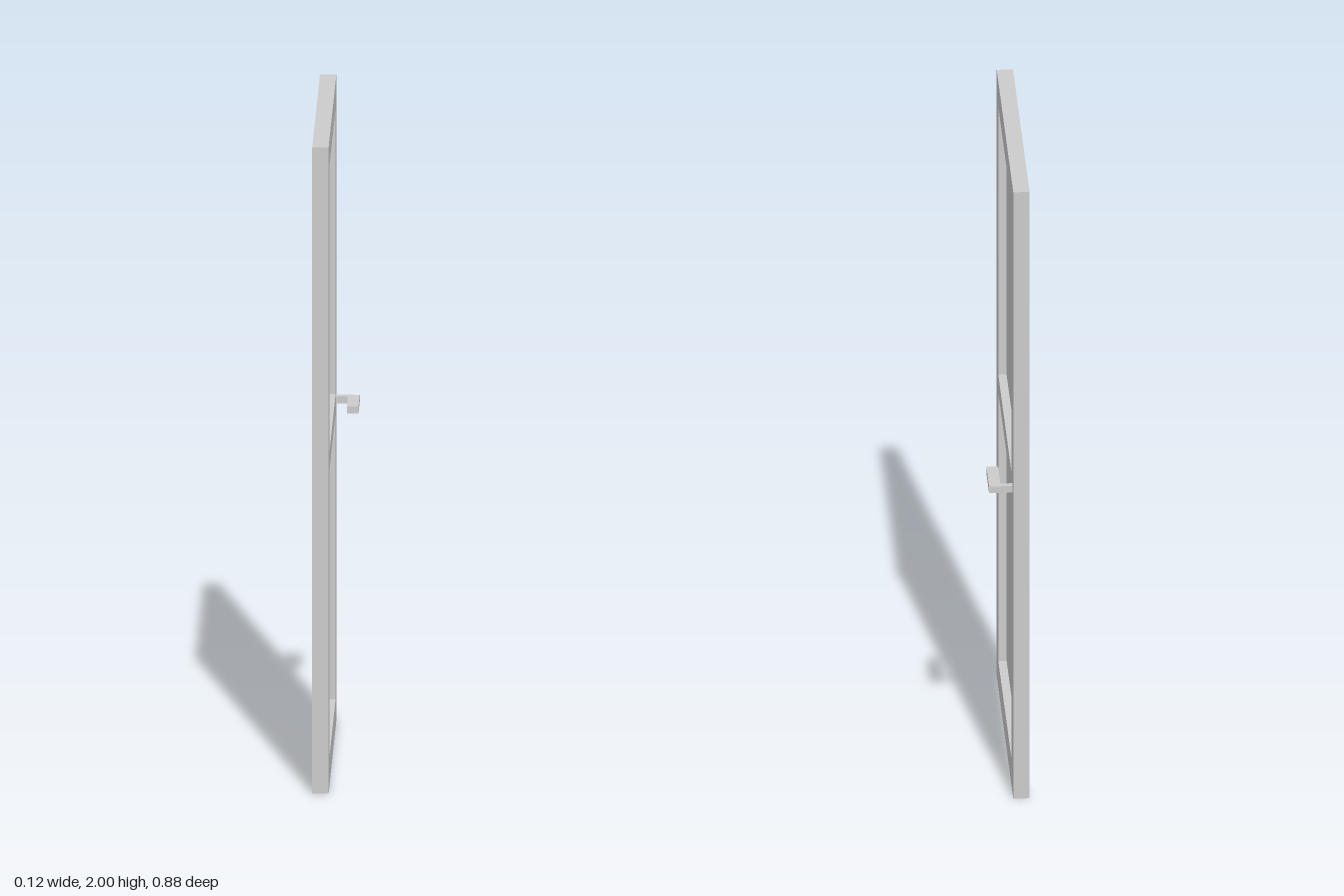
import * as THREE from 'three';

const solid = new THREE.MeshStandardMaterial({ color: 0xcccccc });
const sheet = new THREE.MeshStandardMaterial({ color: 0xcccccc, side: THREE.DoubleSide });

const FRONT = -0.011, BACK = -0.06, RECESS = 0.025;
const HALF = 0.4415, HEIGHT = 2;
const PANELS = [
  { name: 'lowerPanel', y0: 0.088, y1: 0.974 },
  { name: 'upperPanel', y0: 1.032, y1: 1.918 },
];
const PANEL_HALF = 0.358;

function add(parent, name, geometry, material = sheet) {
  const mesh = new THREE.Mesh(geometry, material);
  mesh.name = name;
  parent.add(mesh);
  return mesh;
}

// Rectangle facing +x
function upright(parent, name, half, y0, y1, x) {
  const m = add(parent, name, new THREE.PlaneGeometry(2 * half, y1 - y0).rotateY(Math.PI / 2));
  m.position.set(x, (y0 + y1) / 2, 0);
}

// Thin walls running from x0 to x1 along the edges of a rectangle
function walls(parent, prefix, half, y0, y1, x0, x1, withBottom) {
  const depth = x1 - x0, cx = (x0 + x1) / 2;
  for (const s of [-1, 1]) {
    const side = new THREE.PlaneGeometry(depth, y1 - y0);
    if (s < 0) side.rotateY(Math.PI);
    add(parent, prefix + (s > 0 ? 'FrontEdge' : 'BackEdge'), side).position.set(cx, (y0 + y1) / 2, s * half);
  }
  const flat = () => new THREE.PlaneGeometry(depth, 2 * half).rotateX(-Math.PI / 2);
  add(parent, prefix + 'TopEdge', flat()).position.set(cx, y1, 0);
  if (withBottom) add(parent, prefix + 'BottomEdge', flat()).position.set(cx, y0, 0);
}

function rectPath(path, half, y0, y1) {
  path.moveTo(-half, y0);
  path.lineTo(half, y0);
  path.lineTo(half, y1);
  path.lineTo(-half, y1);
  path.closePath();
  return path;
}

export function createModel() {
  const door = new THREE.Group();
  door.name = 'door';

  // Door face with two panel openings
  const face = rectPath(new THREE.Shape(), HALF, 0, HEIGHT);
  for (const p of PANELS) face.holes.push(rectPath(new THREE.Path(), PANEL_HALF, p.y0, p.y1));
  add(door, 'doorFace', new THREE.ShapeGeometry(face).rotateY(Math.PI / 2)).position.x = FRONT;

  // Outer rim: sides and top; the back and bottom are open
  walls(door, 'rim', HALF, 0, HEIGHT, BACK, FRONT, false);

  // Recessed panels
  for (const p of PANELS) {
    const panel = new THREE.Group();
    panel.name = p.name;
    upright(panel, p.name + 'Floor', PANEL_HALF, p.y0, p.y1, FRONT - RECESS);
    walls(panel, p.name, PANEL_HALF, p.y0, p.y1, FRONT - RECESS, FRONT, true);
    door.add(panel);
  }

  // L-shaped lever handle, drawn in plan (x, -z) and extruded upwards
  const lever = new THREE.Shape([
    [FRONT, 0.39], [0.025, 0.39], [0.025, 0.267], [0.06, 0.267], [0.06, 0.41], [FRONT, 0.41],
  ].map(([x, y]) => new THREE.Vector2(x, y)));
  const handle = new THREE.ExtrudeGeometry(lever, { depth: 0.022, bevelEnabled: false }).rotateX(-Math.PI / 2);
  add(door, 'handle', handle, solid).position.y = 0.995;

  return door;
}
